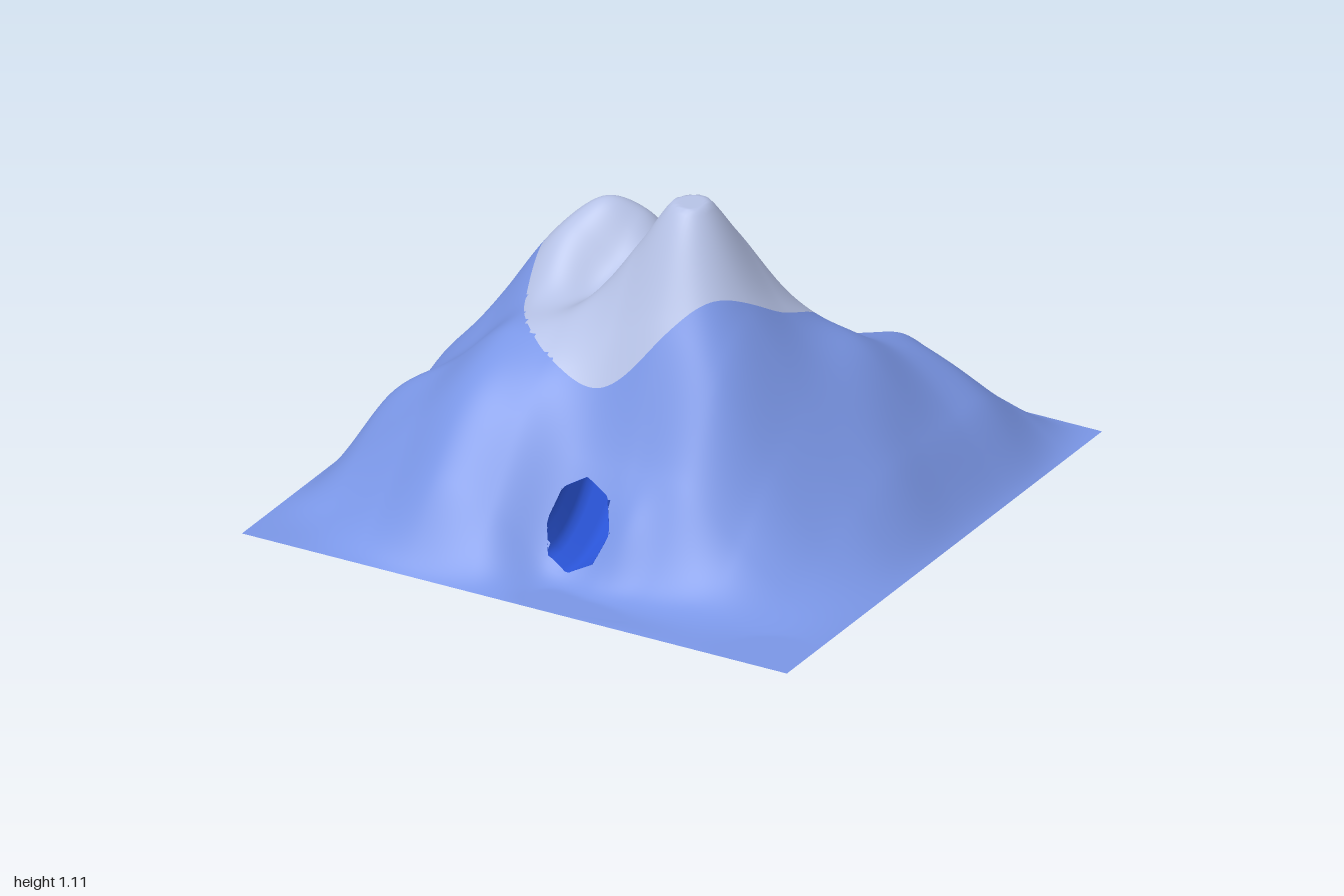
import * as THREE from 'three';

const rock = new THREE.MeshStandardMaterial({ color: 0x7a96e6, side: THREE.DoubleSide });
rock.name = 'blue rock';
const snow = new THREE.MeshStandardMaterial({ color: 0xb6c2e6, side: THREE.DoubleSide });
snow.name = 'pale snow';
const lining = new THREE.MeshStandardMaterial({ color: 0x2c58e0, side: THREE.DoubleSide });
lining.name = 'deep blue lining';

// Coarse relief every 0.2 units: rows run back to front, columns from -x to +x; the rim is zero
const relief = [
  [.03, .03, .00, .01, .04, .10, .17, .17, .12],
  [.10, .13, .10, .13, .22, .28, .36, .36, .24],
  [.16, .34, .55, .54, .44, .44, .46, .44, .25],
  [.28, .52, .76, .82, .62, .70, .62, .53, .26],
  [.31, .56, .80, .73, .76, .96, .74, .52, .26],
  [.25, .44, .64, .68, .91, 1.07, .79, .47, .20],
  [.29, .43, .60, .62, .69, .78, .66, .36, .12],
  [.18, .34, .49, .46, .35, .34, .34, .18, .05],
  [.04, .14, .26, .20, .04, .03, .04, .03, .00],
];
// Rounded rises and hollows that fall between the relief points: x, z, height, radius
const rises = [
  [.13, .17, .075, .14], [-.3, -.1, .065, .1], [.45, -.7, .05, .1], [.24, .71, .04, .08],
  [-.18, .29, .03, .1], [-.22, .1, -.03, .09], [-.7, -.05, -.04, .1],
];
const TOP = 1.11;

const cell = (r, c) => relief[r]?.[c] ?? 0;
const spline = (a, b, c, d, t) =>
  b + .5 * t * (c - a + t * (2 * a - 5 * b + 4 * c - d + t * (3 * (b - c) + d - a)));

function height(x, z) {
  const gx = x * 5 + 4, gz = z * 5 + 4;
  const c = Math.floor(gx), r = Math.floor(gz);
  const row = k => spline(cell(k, c - 1), cell(k, c), cell(k, c + 1), cell(k, c + 2), gx - c);
  let h = spline(row(r - 1), row(r), row(r + 1), row(r + 2), gz - r);
  for (const [sx, sz, top, rad] of rises) {
    h += top * Math.exp(-((x - sx) ** 2 + (z - sz) ** 2) / rad ** 2);
  }
  const edge = Math.max(Math.abs(x), Math.abs(z));
  return edge > .9999 ? 0 : Math.min(TOP, Math.max(0, h));
}

// Tunnel: an octagonal bore that swings gently sideways between its two mouths
const bore = { y: .167, a: .112, b: .133 };
const APOTHEM = Math.cos(Math.PI / 8);
function boreX(z) {
  const t = THREE.MathUtils.clamp((z + .62) / 1.34, 0, 1);
  return -.38 + .45 * (t + t * t * (3 - 2 * t)) / 2;
}

function boreEdge(x, z) { // negative where the ground lies inside the bore
  const u = (x - boreX(z)) / bore.a;
  const v = (height(x, z) - bore.y) / bore.b;
  let f = -Infinity;
  for (let k = 0; k < 8; k++) {
    const q = (k + .5) * Math.PI / 4;
    f = Math.max(f, u * Math.cos(q) + v * Math.sin(q));
  }
  return f - APOTHEM;
}

const snowEdge = (x, z) => Math.hypot((x + .02) / .45, (z + .03) / .52) - 1;

// Slide a ground point onto the zero line of an outline when it is close enough
function snap(p, outline, reach) {
  let [x, z] = p;
  const e = 1e-4;
  for (let i = 0; i < 4; i++) {
    const f = outline(x, z);
    const fx = (outline(x + e, z) - outline(x - e, z)) / (2 * e);
    const fz = (outline(x, z + e) - outline(x, z - e)) / (2 * e);
    const g = fx * fx + fz * fz;
    if (g < 1e-6) return p;
    x -= f * fx / g;
    z -= f * fz / g;
  }
  return Math.hypot(x - p[0], z - p[1]) < reach ? [x, z] : p;
}

// Ground sheet, divided into rock and snow, with the two tunnel mouths left open
function buildGround(group) {
  const n = 160, step = 2 / n, pos = [];
  for (let j = 0; j <= n; j++) {
    for (let i = 0; i <= n; i++) {
      let p = [-1 + i * step, -1 + j * step];
      if (i % n && j % n) {
        p = snap(p, boreEdge, step * .65);
        p = snap(p, snowEdge, step * .6);
      }
      pos.push(p[0], height(p[0], p[1]), p[1]);
    }
  }
  const all = [], rockFaces = [], snowFaces = [];
  const addFace = (...t) => {
    all.push(...t);
    const x = (pos[t[0] * 3] + pos[t[1] * 3] + pos[t[2] * 3]) / 3;
    const z = (pos[t[0] * 3 + 2] + pos[t[1] * 3 + 2] + pos[t[2] * 3 + 2]) / 3;
    if (boreEdge(x, z) < 0) return;
    (snowEdge(x, z) < 0 ? snowFaces : rockFaces).push(...t);
  };
  for (let j = 0; j < n; j++) {
    for (let i = 0; i < n; i++) {
      const a = j * (n + 1) + i, b = a + 1, c = a + n + 1, d = c + 1;
      addFace(a, c, b);
      addFace(b, c, d);
    }
  }
  const whole = new THREE.BufferGeometry();
  whole.setAttribute('position', new THREE.Float32BufferAttribute(pos, 3));
  whole.setIndex(all);
  whole.computeVertexNormals();
  // Both parts share the normals, so the slope stays smooth across the snow line
  for (const [name, faces, mat] of [['mountainSlopes', rockFaces, rock], ['snowCap', snowFaces, snow]]) {
    const geo = new THREE.BufferGeometry();
    geo.setAttribute('position', whole.attributes.position);
    geo.setAttribute('normal', whole.attributes.normal);
    geo.setIndex(faces);
    const mesh = new THREE.Mesh(geo, mat);
    mesh.name = name;
    group.add(mesh);
  }
}

// Tunnel lining: each long strip runs until it breaks out of the slope at both ends
function buildTunnel(group) {
  const perSide = 4, around = 8 * perSide, rows = 20, pos = [], index = [];
  const corner = k => [Math.cos(k * Math.PI / 4) * bore.a, Math.sin(k * Math.PI / 4) * bore.b];
  for (let i = 0; i < around; i++) {
    const k = Math.floor(i / perSide), t = (i % perSide) / perSide;
    const [p, q] = [corner(k), corner(k + 1)];
    const u = p[0] + (q[0] - p[0]) * t, v = p[1] + (q[1] - p[1]) * t;
    const exit = (z, dz, limit) => {
      while (Math.abs(z) < limit && height(boreX(z) + u, z) > bore.y + v) z += dz;
      return z;
    };
    const back = exit(-.4, -.002, .72), front = exit(.45, .002, .82);
    for (let j = 0; j <= rows; j++) {
      const z = back + (front - back) * j / rows;
      const swell = Math.sin(Math.PI * j / rows); // wider in the middle
      pos.push(boreX(z) + u * (1 + .22 * swell), bore.y + v * (1 + .12 * swell), z);
      if (j < rows) {
        const a = i * (rows + 1) + j, b = ((i + 1) % around) * (rows + 1) + j;
        index.push(a, a + 1, b, a + 1, b + 1, b);
      }
    }
  }
  const geo = new THREE.BufferGeometry();
  geo.setAttribute('position', new THREE.Float32BufferAttribute(pos, 3));
  geo.setIndex(index);
  geo.computeVertexNormals();
  const mesh = new THREE.Mesh(geo, lining);
  mesh.name = 'tunnel';
  group.add(mesh);
}

export function createModel() {
  const group = new THREE.Group();
  group.name = 'mountainWithTunnel';
  buildGround(group);
  buildTunnel(group);
  return group;
}
